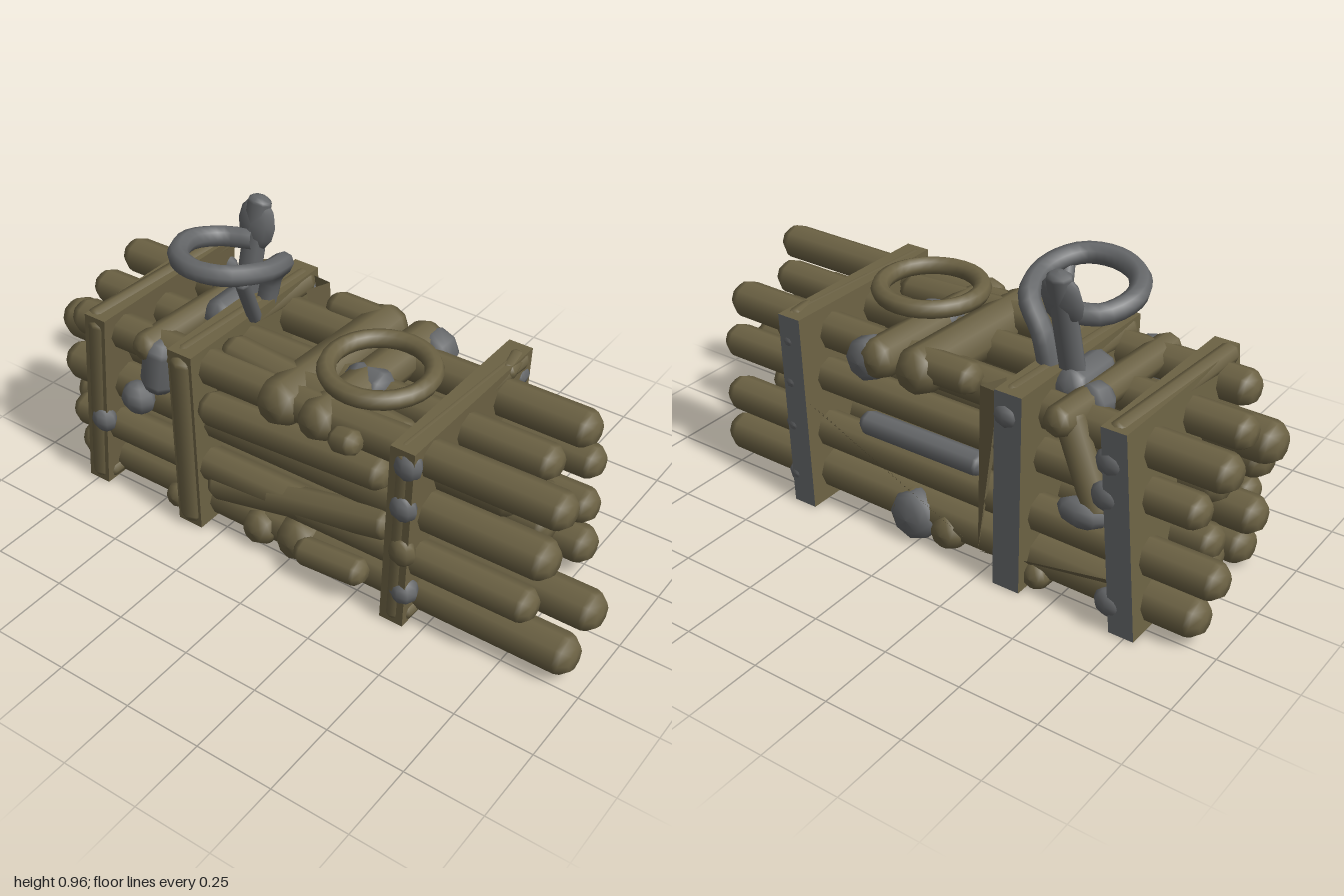
import * as THREE from 'three';

export function createModel() {
  const model = new THREE.Group();
  const brown = new THREE.MeshStandardMaterial({ color: 0x6c6244 });
  const grey = new THREE.MeshStandardMaterial({ color: 0x66686a });
  const shard = new THREE.MeshStandardMaterial({ color: 0x6a6043, side: THREE.DoubleSide });
  brown.name = 'woodBrown'; grey.name = 'stoneGrey'; shard.name = 'splinterBrown';
  const V = (p) => new THREE.Vector3(...p);
  const add = (name, geometry, material) => {
    const mesh = new THREE.Mesh(geometry, material);
    mesh.name = name;
    model.add(mesh);
    return mesh;
  };

  // Eight-sided log with chamfered ends, laid from a to b
  const log = (name, a, b, r, material = brown) => {
    const from = V(a), dir = V(b).sub(from), l = dir.length(), c = Math.min(r * 0.45, l * 0.2);
    const profile = [[0, 0], [r * 0.6, 0.004], [r * 0.92, c], [r, c * 1.6], [r, l - c * 1.6],
      [r * 0.92, l - c], [r * 0.6, l - 0.004], [0, l]].map((p) => new THREE.Vector2(...p));
    const mesh = add(name, new THREE.LatheGeometry(profile, 8), material);
    mesh.position.copy(from);
    mesh.quaternion.setFromUnitVectors(new THREE.Vector3(0, 1, 0), dir.normalize());
    return mesh;
  };
  const tube = (name, points, r, material) => add(name,
    new THREE.TubeGeometry(new THREE.CatmullRomCurve3(points.map(V)), 36, r, 8), material);
  const knob = (name, p, sx, sy, sz, material) => {
    const mesh = add(name, new THREE.SphereGeometry(1, 8, 6), material);
    mesh.position.set(...p);
    mesh.scale.set(sx, sy, sz);
    return mesh;
  };

  // Long logs: x, y, radius, front end, back end
  [
    [-0.21, 0.60, 0.058, 0.91, -0.84], [-0.025, 0.58, 0.056, 0.77, -0.93], [0.175, 0.575, 0.06, 0.78, -0.99],
    [-0.125, 0.505, 0.068, 0.72, -0.97], [-0.20, 0.40, 0.064, 0.87, -0.91], [0.0, 0.415, 0.063, 0.76, -0.88],
    [0.21, 0.44, 0.055, 0.79, -0.92], [-0.24, 0.25, 0.055, 0.84, -0.86], [-0.15, 0.245, 0.062, 1.0, -0.93],
    [0.075, 0.26, 0.056, 0.72, -0.9], [0.225, 0.26, 0.058, 0.78, -1.0], [-0.20, 0.095, 0.064, 0.96, -0.88],
    [-0.055, 0.105, 0.062, 0.77, -0.84], [0.22, 0.115, 0.062, 0.79, -0.95],
  ].forEach(([x, y, r, f, b], i) => {
    const tilt = (i % 3 - 1) * 0.008;
    log('log', [x, y, f], [x + tilt, y - 0.02, b], r);
  });

  // Upright plates with grey right edges and rounded left rims: z, thickness, lean, rim radius
  [[0.42, 0.08, 0.025, 0.032], [-0.355, 0.09, 0, 0.045], [-0.715, 0.08, 0.055, 0.036]].forEach(([z, t, lean, r]) => {
    const g = new THREE.BoxGeometry(0.63, 0.645, t);
    const p = g.attributes.position;
    for (let i = 0; i < p.count; i++) p.setZ(i, p.getZ(i) + lean * p.getY(i) / 0.645);
    g.computeVertexNormals();
    add('plate', g, [grey, brown, brown, brown, brown, brown]).position.set(0.01, 0.337, z);
    log('plateRim', [-0.28, 0.02, z - lean / 2], [-0.28, 0.65, z + lean / 2], r);
  });

  // Grey stubs and knobs along the upright edges of the end plates
  for (const y of [0.11, 0.285, 0.435, 0.575]) log('frontStub', [0.25, y, 0.44], [0.327, y, 0.435], 0.043, grey);
  knob('frontKnob', [-0.285, 0.6, 0.44], 0.037, 0.052, 0.045, grey);
  knob('frontKnob', [-0.297, 0.455, 0.435], 0.032, 0.045, 0.045, grey);
  knob('frontKnob', [-0.297, 0.295, 0.435], 0.032, 0.05, 0.045, brown);
  knob('frontKnob', [-0.28, 0.135, 0.435], 0.042, 0.045, 0.045, grey);
  for (const [y, z] of [[0.1, -0.69], [0.44, -0.665], [0.55, -0.675]])
    knob('backKnob', [0.305, y, z], 0.03, 0.045, 0.05, grey);

  // Crosswise logs on top and underneath: z, y, radius
  [[0.44, 0.63, 0.032], [0.13, 0.59, 0.065], [-0.01, 0.59, 0.075], [-0.35, 0.62, 0.045],
    [-0.5, 0.6, 0.048], [-0.69, 0.635, 0.034]].forEach(([z, y, r]) =>
    log('topCrossLog', [-0.3, y, z - 0.02], [0.315, y, z + 0.01], r));
  [[0.43, 0.045, 0.03], [0.02, 0.09, 0.075], [-0.12, 0.075, 0.06], [-0.44, 0.055, 0.045], [-0.72, 0.045, 0.03]]
    .forEach(([z, y, r]) => log('lowerCrossLog', [-0.29, y, z], [0.3, y, z + 0.02], r));

  // Filler logs along the sides, top and underside
  log('sideLog', [-0.25, 0.5, 0.36], [-0.25, 0.46, -0.32], 0.055);
  log('sideLog', [-0.25, 0.33, 0.38], [-0.25, 0.17, -0.3], 0.05);
  log('topLog', [-0.17, 0.58, 0.38], [-0.15, 0.62, -0.3], 0.055);
  log('topLog', [0.24, 0.61, 0.03], [0.24, 0.61, -0.2], 0.052);
  log('topLog', [0.19, 0.635, 0.46], [0.3, 0.64, 0.44], 0.028);
  log('lowerLog', [0.1, 0.08, 0.4], [0.05, 0.075, -0.3], 0.065);
  log('lowerLog', [-0.13, 0.065, 0.4], [-0.1, 0.065, -0.3], 0.055);
  log('lowerLog', [0.1, 0.075, -0.38], [0.08, 0.075, -0.78], 0.06);
  log('brace', [0.24, 0.62, -0.49], [0.27, 0.33, -0.63], 0.045);
  log('sideLump', [-0.29, 0.6, 0.28], [-0.28, 0.58, 0.18], 0.04);
  log('sideLump', [-0.28, 0.12, 0.3], [-0.28, 0.1, 0.05], 0.045);

  // Grey bars and stones wedged among the logs
  log('greyBar', [0.275, 0.365, 0.2], [0.275, 0.365, -0.25], 0.038, grey);
  log('lowerStone', [0.2, 0.09, 0.02], [0.31, 0.09, 0.02], 0.08, grey);
  log('topStone', [0.2, 0.575, 0.18], [0.315, 0.575, 0.18], 0.068, grey);
  log('handleBase', [-0.06, 0.61, -0.43], [0.16, 0.615, -0.43], 0.06, grey);
  log('topStone', [0.08, 0.6, -0.53], [0.17, 0.6, -0.5], 0.055, grey);
  log('topStone', [-0.03, 0.6, 0.06], [-0.03, 0.6, 0.21], 0.055, grey);
  log('sideStone', [-0.24, 0.63, -0.47], [-0.25, 0.44, -0.5], 0.058, grey);
  knob('sideStone', [0.29, 0.345, -0.58], 0.04, 0.045, 0.08, grey);
  knob('sideStone', [0.31, 0.585, -0.345], 0.03, 0.04, 0.045, grey);
  knob('sideStone', [-0.275, 0.4, -0.56], 0.05, 0.055, 0.06, grey);
  knob('sideStone', [-0.295, 0.27, -0.7], 0.035, 0.045, 0.045, grey);

  // Thin splinters fanning from one low point on the right side
  const splinter = (a, b) => {
    const g = new THREE.BufferGeometry();
    g.setAttribute('position', new THREE.Float32BufferAttribute([0.3, 0.085, -0.24, ...a, ...b], 3));
    g.computeVertexNormals();
    add('splinter', g, shard);
  };
  for (let i = 0; i < 7; i++) {
    const x = 0.31 - i * 0.025, y = 0.375 - i * 0.026;
    splinter([x, y, 0.38], [x - 0.012, y - 0.024, 0.36]);
    splinter([0.3 - i * 0.02, 0.17 - i * 0.02, -0.69], [0.29 - i * 0.02, 0.15 - i * 0.02, -0.66]);
  }
  splinter([0.305, 0.64, -0.31], [0.3, 0.64, -0.245]);
  splinter([0.3, 0.64, -0.245], [0.22, 0.64, -0.28]);

  // Flat ring on the top
  const ring = add('topRing', new THREE.TorusGeometry(0.156, 0.029, 8, 28), brown);
  ring.rotation.x = -Math.PI / 2;
  ring.position.set(-0.05, 0.683, 0.185);

  // Curled handle with its supports
  tube('handleLoop', [[0.1, 0.6, -0.35], [0.105, 0.74, -0.32], [0.07, 0.825, -0.25], [-0.05, 0.86, -0.225],
    [-0.16, 0.88, -0.28], [-0.187, 0.88, -0.38], [-0.14, 0.87, -0.48], [-0.03, 0.855, -0.53],
    [0.07, 0.835, -0.49], [0.11, 0.835, -0.4]], 0.033, grey);
  log('handlePost', [0.085, 0.6, -0.42], [0.152, 0.97, -0.395], 0.032, grey).scale.z = 1.3;
  knob('postTip', [0.135, 0.88, -0.4], 0.032, 0.085, 0.07, grey).rotation.z = -0.2;
  log('handleStrut', [0.0, 0.64, -0.31], [-0.13, 0.86, -0.25], 0.023, grey);

  return model;
}
